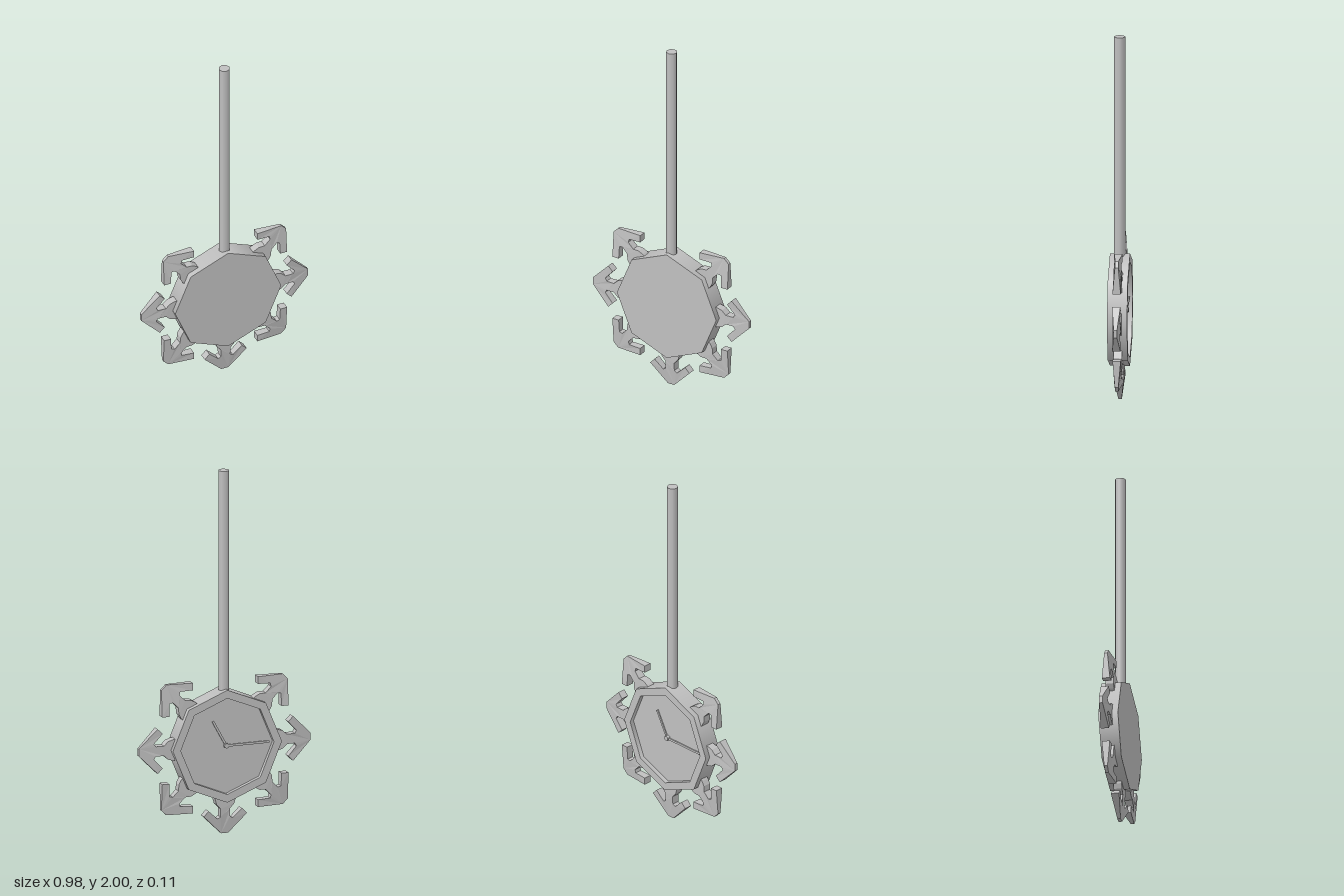
import * as THREE from 'three';

export function createModel() {
  const model = new THREE.Group();
  model.name = 'clockOnRod';
  const grey = new THREE.MeshStandardMaterial({ color: 0xc0c0c0, side: THREE.DoubleSide });
  grey.name = 'grey';

  const CY = 0.49;          // height of the dial centre
  const R = 0.31, INNER = 0.265;
  const FRONT = 0.052, BACK = -0.055, FLOOR = -0.03;

  function add(parent, name, geometry, x = 0, y = 0, z = 0) {
    const mesh = new THREE.Mesh(geometry, grey);
    mesh.name = name;
    mesh.position.set(x, y, z);
    parent.add(mesh);
    return mesh;
  }

  // Octagonal wall running along z
  const wall = (r, z0, z1) =>
    new THREE.CylinderGeometry(r, r, z1 - z0, 8, 1, true)
      .rotateX(Math.PI / 2).translate(0, 0, (z0 + z1) / 2);

  // Hanging rod
  add(model, 'rod', new THREE.CylinderGeometry(0.03, 0.03, 1.21, 8), 0, 1.395, 0);

  // Octagonal case, closed at the front and recessed at the back
  const dial = new THREE.Group();
  dial.name = 'case';
  dial.position.y = CY;
  model.add(dial);
  add(dial, 'caseSide', wall(R, BACK, FRONT));
  add(dial, 'frontFace', new THREE.CircleGeometry(R, 8), 0, 0, FRONT);
  add(dial, 'backRim', new THREE.RingGeometry(INNER, R, 8, 1).rotateY(Math.PI), 0, 0, BACK);
  add(dial, 'recessWall', wall(INNER, BACK, FLOOR));
  add(dial, 'clockFace', new THREE.CircleGeometry(INNER, 8).rotateY(Math.PI), 0, 0, FLOOR);

  // Clock hands and hub inside the recess
  add(dial, 'hub', new THREE.CylinderGeometry(0.014, 0.014, 0.018, 8).rotateX(Math.PI / 2), 0, 0, FLOOR - 0.009);
  function hand(name, length, angle) {
    const g = new THREE.BoxGeometry(length, 0.012, 0.006).translate(length / 2, 0, 0);
    add(dial, name, g, 0, 0, FLOOR - 0.008).rotation.z = angle;
  }
  hand('hourHand', 0.16, Math.atan2(0.142, 0.077));
  hand('minuteHand', 0.245, Math.PI);

  // Arrow outline: half profile (distance from centre, sideways), mirrored
  const half = [
    [0.27, 0.06], [0.298, 0.058], [0.325, 0.05], [0.35, 0.027], [0.395, 0.027],
    [0.405, 0.043], [0.357, 0.095], [0.385, 0.123], [0.488, 0.02],
  ];
  const outline = [
    ...half.map(([r, t]) => new THREE.Vector2(r, -t)),
    ...half.slice().reverse().map(([r, t]) => new THREE.Vector2(r, t)),
  ];
  const arrow = new THREE.ExtrudeGeometry(new THREE.Shape(outline), { depth: 1, bevelEnabled: false });
  // Thin the head towards its tip
  const pos = arrow.attributes.position;
  for (let i = 0; i < pos.count; i++) {
    const taper = THREE.MathUtils.clamp((pos.getX(i) - 0.38) / 0.108, 0, 1);
    pos.setZ(i, (pos.getZ(i) - 0.5) * THREE.MathUtils.lerp(0.045, 0.018, taper) - 0.003);
  }
  arrow.computeVertexNormals();

  // One arrow on each corner except the top, where the rod is
  for (let k = 0; k < 8; k++) {
    if (k === 2) continue;
    add(dial, 'arrow' + k, arrow).rotation.z = k * Math.PI / 4;
  }
  return model;
}
